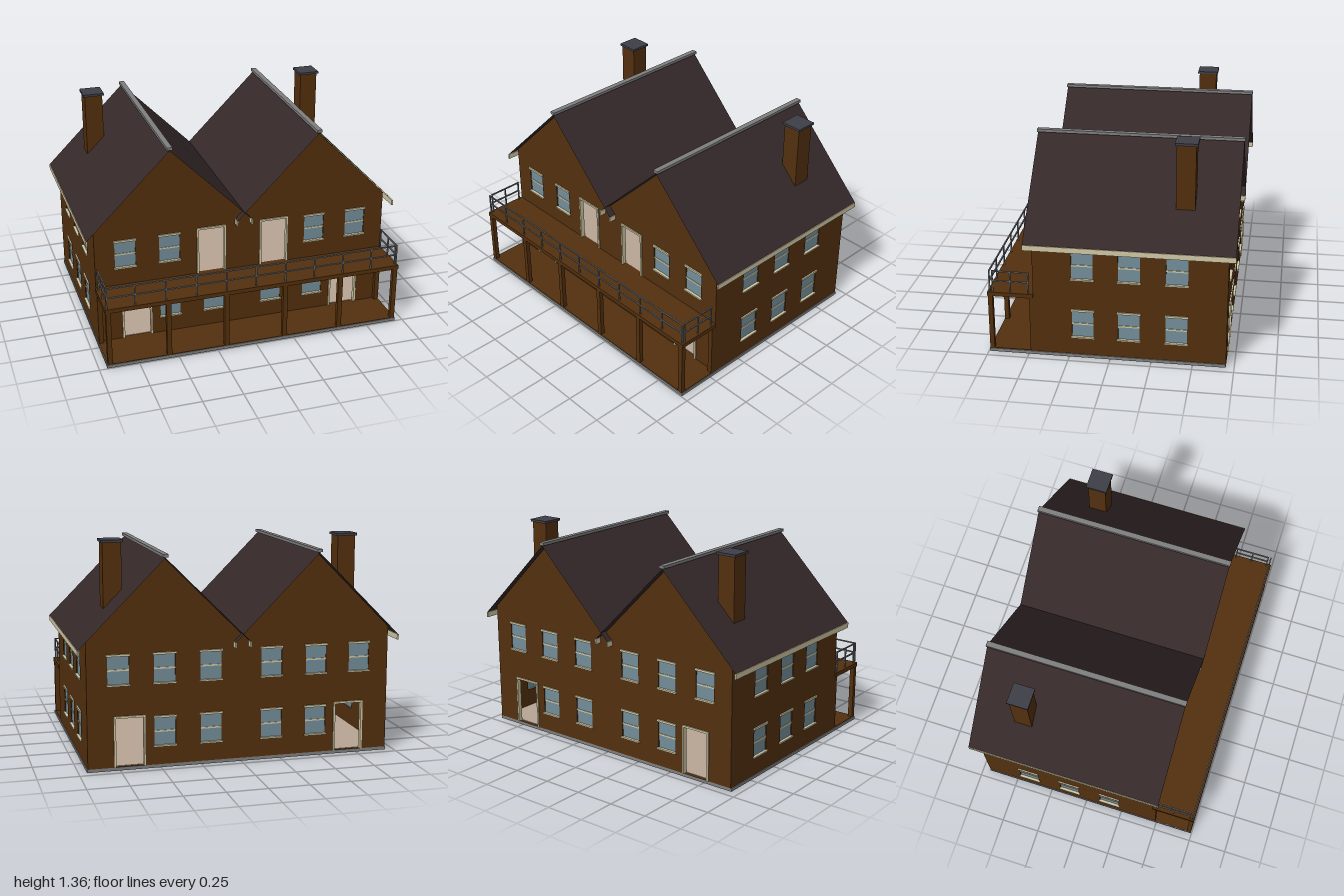
import * as THREE from 'three';

const mat = (name, color, side = THREE.FrontSide) => {
  const m = new THREE.MeshStandardMaterial({ color, side });
  m.name = name;
  return m;
};

export function createModel() {
  const brick = mat('brown brick', 0x53300e);
  const cream = mat('cream trim', 0xd2c8a4);
  const glass = mat('window glass', 0x738e9a, THREE.DoubleSide);
  const slate = mat('dark roof', 0x352829, THREE.DoubleSide);
  const stone = mat('grey stone', 0x7f7f7f);
  const metal = mat('grey railing', 0x686a6c);
  const capGrey = mat('chimney cap grey', 0x3e3e47);
  const tan = mat('tan floor', 0xb8a595);

  const model = new THREE.Group();
  model.name = 'house';

  // Box given by its minimum and maximum along each axis
  const box = (parent, name, material, x0, x1, y0, y1, z0, z1) => {
    const mesh = new THREE.Mesh(new THREE.BoxGeometry(x1 - x0, y1 - y0, z1 - z0), material);
    mesh.position.set((x0 + x1) / 2, (y0 + y1) / 2, (z0 + z1) / 2);
    mesh.name = name;
    parent.add(mesh);
    return mesh;
  };

  const FRONT = 0.465, BACK = -0.7, HALF = 0.945, MID = (FRONT + BACK) / 2;
  const THICK = 0.02, LOW = 0.137, HIGH = 0.522, WIN_W = 0.13, WIN_H = 0.176;

  // A wall in local x/y whose outer face lies on local z = 0
  function buildWall(name, outline, windows, doors) {
    const wall = new THREE.Group();
    wall.name = name;
    const shape = new THREE.Shape(outline.map(([x, y]) => new THREE.Vector2(x, y)));
    const cut = (x0, x1, y0, y1) => shape.holes.push(new THREE.Path([
      new THREE.Vector2(x0, y0), new THREE.Vector2(x0, y1),
      new THREE.Vector2(x1, y1), new THREE.Vector2(x1, y0)]));

    for (const [x, y] of windows) {
      const h = WIN_W / 2, top = y + WIN_H, mid = y + WIN_H / 2;
      cut(x - h, x + h, y, top);
      const win = new THREE.Group();
      win.name = 'window';
      box(win, 'windowPane', glass, x - h, x + h, y, top, -0.012, -0.006);
      box(win, 'windowBar', cream, x - h, x + h, mid - 0.005, mid + 0.005, -0.015, -0.002);
      box(win, 'windowLintel', cream, x - 0.072, x + 0.072, top - 0.004, top + 0.009, -0.015, 0.009);
      box(win, 'windowSill', cream, x - 0.072, x + 0.072, y - 0.007, y + 0.003, -0.015, 0.011);
      wall.add(win);
    }
    for (const [x, y, w, h] of doors) {
      const a = x - w / 2, b = x + w / 2, t = 0.012;
      cut(a, b, y + 0.001, y + h);
      const frame = new THREE.Group();
      frame.name = 'doorFrame';
      box(frame, 'doorJamb', cream, a - t / 2, a + t / 2, y, y + h, -THICK, 0.008);
      box(frame, 'doorJamb', cream, b - t / 2, b + t / 2, y, y + h, -THICK, 0.008);
      box(frame, 'doorHead', cream, a - t / 2, b + t / 2, y + h, y + h + t, -THICK, 0.008);
      wall.add(frame);
    }
    const geo = new THREE.ExtrudeGeometry(shape, { depth: THICK, bevelEnabled: false });
    geo.translate(0, 0, -THICK);
    const mesh = new THREE.Mesh(geo, brick);
    mesh.name = 'brickWall';
    wall.add(mesh);
    model.add(wall);
    return wall;
  }

  // Front and back walls with twin gables
  const gables = [[-HALF, 0.02], [HALF, 0.02], [HALF, 0.793], [0.474, 1.264],
    [0, 0.79], [-0.474, 1.264], [-HALF, 0.793]];
  const xs = [-0.19, 0.19, -0.475, 0.475, -0.755, 0.755];
  const lowWindows = xs.slice(0, 4).map(x => [x, LOW]);
  const lowDoors = [-0.69, 0.69].map(x => [x, 0.02, 0.18, 0.3]);

  const front = buildWall('frontWall', gables,
    [...lowWindows, ...xs.slice(2).map(x => [x, HIGH])],
    [...lowDoors, [-0.205, 0.403, 0.176, 0.302], [0.205, 0.403, 0.176, 0.302]]);
  front.position.z = FRONT;

  const back = buildWall('backWall', gables, [...lowWindows, ...xs.map(x => [x, HIGH])], lowDoors);
  back.rotation.y = Math.PI;
  back.position.z = BACK;

  // Side walls, three windows on each floor
  const halfLen = (FRONT - BACK) / 2 - THICK;
  for (const s of [1, -1]) {
    const windows = [0.165, -0.115, -0.4].flatMap(z => [LOW, HIGH].map(y => [-s * (z - MID), y]));
    const side = buildWall(s > 0 ? 'leftWall' : 'rightWall',
      [[-halfLen, 0.02], [halfLen, 0.02], [halfLen, 0.79], [-halfLen, 0.79]], windows, []);
    side.rotation.y = s * Math.PI / 2;
    side.position.set(s * HALF, 0, MID);
  }

  // Base, floors and balcony deck
  box(model, 'baseSlab', stone, -0.95, 0.95, 0, 0.02, BACK, 0.745);
  box(model, 'groundFloor', tan, -0.925, 0.925, 0.02, 0.024, BACK + THICK, FRONT - THICK);
  box(model, 'upperFloor', tan, -0.925, 0.925, 0.385, 0.402, BACK + THICK, FRONT - THICK);
  box(model, 'porchFloor', brick, -0.945, 0.945, 0.02, 0.024, FRONT, 0.742);
  box(model, 'balconyDeck', brick, -0.95, 0.95, 0.377, 0.404, FRONT, 0.745);

  // Porch posts
  for (const x of [-0.93, -0.558, -0.19, 0.19, 0.558, 0.93])
    box(model, 'porchPost', brick, x - 0.015, x + 0.015, 0.02, 0.38, 0.715, 0.743);
  for (const x of [-0.93, 0.93])
    box(model, 'wallPost', brick, x - 0.015, x + 0.015, 0.02, 0.38, FRONT, 0.49);

  // Balcony railing
  const railing = new THREE.Group();
  railing.name = 'balconyRailing';
  model.add(railing);
  const r = 0.004;
  for (const y of [0.475, 0.538]) {
    box(railing, 'frontRail', metal, -0.94, 0.94, y - r, y + r, 0.728, 0.736);
    for (const x of [-0.936, 0.936])
      box(railing, 'sideRail', metal, x - r, x + r, y - r, y + r, 0.49, 0.718);
  }
  for (let i = -5; i <= 5; i++) {
    const x = i * 0.1885 * (Math.abs(i) === 5 ? 0.993 : 1.01);
    box(railing, 'frontBaluster', metal, x - r, x + r, 0.403, 0.54, 0.728, 0.736);
  }
  for (const x of [-0.936, 0.936])
    for (const z of [0.495, 0.605, 0.714])
      box(railing, 'sideBaluster', metal, x - r, x + r, 0.403, 0.54, z - r, z + r);

  // Twin roofs with ridge caps, fascias and chimneys
  const Z0 = -0.743, Z1 = 0.509, SPAN = 0.524;
  for (const s of [1, -1]) {
    const roof = new THREE.Group();
    roof.name = s > 0 ? 'leftRoof' : 'rightRoof';
    model.add(roof);
    const ridgeX = s * 0.474;
    for (const d of [1, -1]) {
      const geo = new THREE.PlaneGeometry(SPAN * Math.SQRT2, Z1 - Z0);
      geo.rotateX(-Math.PI / 2).rotateZ(-d * Math.PI / 4);
      const slope = new THREE.Mesh(geo, slate);
      slope.name = 'roofSlope';
      slope.position.set(ridgeX + d * SPAN / 2, 1.27 - SPAN / 2, (Z0 + Z1) / 2);
      roof.add(slope);
      const ex = ridgeX + d * (SPAN - 0.003);
      box(roof, 'fascia', cream, ex - 0.005, ex + 0.005, 0.714, 0.748, Z0, Z1);
    }
    box(roof, 'ridgeCap', stone, ridgeX - 0.017, ridgeX + 0.017, 1.273, 1.291, Z0 - 0.003, Z1 + 0.003);
    const cx = s * 0.743, cz = -0.428;
    box(roof, 'chimney', brick, cx - 0.057, cx + 0.057, 0.93, 1.34, cz - 0.057, cz + 0.057);
    box(roof, 'chimneyCap', capGrey, cx - 0.067, cx + 0.067, 1.34, 1.355, cz - 0.067, cz + 0.067);
  }

  return model;
}
